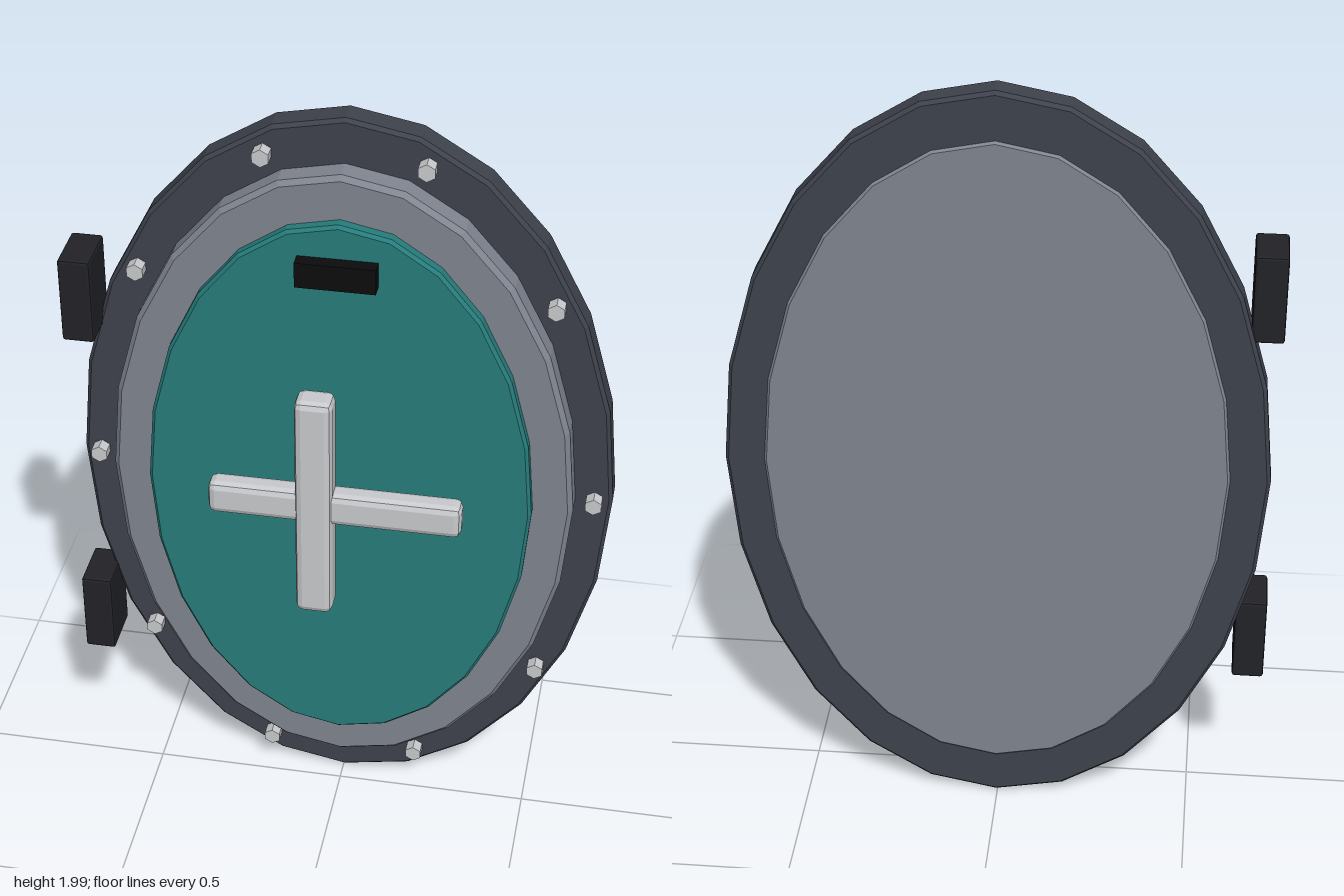
import * as THREE from 'three';
import { RoundedBoxGeometry } from 'three/addons/geometries/RoundedBoxGeometry.js';

const CX = 0.003, CY = 1.003;
const mat = (color) => new THREE.MeshStandardMaterial({ color, flatShading: true });

// Bevelled oval slab with faceted rim, from z0 (back) to z1 (front)
function ovalPlate(name, rx, ry, z0, z1, bevel, material) {
  const points = [];
  for (let i = 0; i < 24; i++) {
    const a = (i / 24) * Math.PI * 2;
    points.push(new THREE.Vector2(Math.cos(a) * rx, Math.sin(a) * ry));
  }
  const geometry = new THREE.ExtrudeGeometry(new THREE.Shape(points), {
    depth: z1 - z0 - 2 * bevel, bevelEnabled: true, bevelSegments: 1,
    bevelSize: bevel, bevelThickness: bevel, bevelOffset: -bevel,
  });
  const mesh = new THREE.Mesh(geometry, material);
  mesh.name = name;
  mesh.position.set(CX, CY, z0 + bevel);
  return mesh;
}

// Box with chamfered edges
function block(name, size, position, bevel, material) {
  const geometry = bevel
    ? new RoundedBoxGeometry(...size, 1, bevel)
    : new THREE.BoxGeometry(...size);
  const mesh = new THREE.Mesh(geometry, material);
  mesh.name = name;
  mesh.position.set(...position);
  return mesh;
}

export function createModel() {
  const model = new THREE.Group();
  model.name = 'ovalHatch';

  const dark = mat(0x3e424c), grey = mat(0x808590), teal = mat(0x267c7b);
  const steel = mat(0xc8cacd), black = mat(0x222327), slotBlack = mat(0x0c0c0c);

  // Stacked plates: outer flange, raised rim, coloured door panel
  model.add(ovalPlate('flange', 0.675, 0.997, -0.124, -0.047, 0.009, dark));
  model.add(ovalPlate('rim', 0.582, 0.883, -0.13, 0.018, 0.012, grey));
  model.add(ovalPlate('doorPanel', 0.483, 0.771, -0.02, 0.05, 0.008, teal));

  // Hexagonal bolts around the flange
  const bolts = new THREE.Group();
  bolts.name = 'bolts';
  const boltGeometry = new THREE.CylinderGeometry(0.023, 0.023, 0.04, 6).rotateX(Math.PI / 2);
  for (let i = 0; i < 10; i++) {
    const a = (i / 10) * Math.PI * 2;
    const bolt = new THREE.Mesh(boltGeometry, steel);
    bolt.name = 'bolt';
    bolt.position.set(CX + Math.cos(a) * 0.63, CY + Math.sin(a) * 0.94, -0.033);
    bolts.add(bolt);
  }
  model.add(bolts);

  // Cross-shaped handle
  const handle = new THREE.Group();
  handle.name = 'handle';
  handle.add(block('verticalBar', [0.094, 0.64, 0.076], [-0.046, 1.003, 0.094], 0.018, steel));
  handle.add(block('horizontalBar', [0.636, 0.09, 0.062], [0.003, 1.003, 0.09], 0.018, steel));
  model.add(handle);

  // Marker plate above the handle
  model.add(block('markerPlate', [0.194, 0.066, 0.042], [0.002, 1.653, 0.064], 0, slotBlack));

  // Hinge blocks on one edge
  for (const y of [0.518, 1.488]) {
    model.add(block('hinge', [0.08, 0.226, 0.14], [-0.644, y, -0.032], 0.007, black));
  }
  return model;
}
